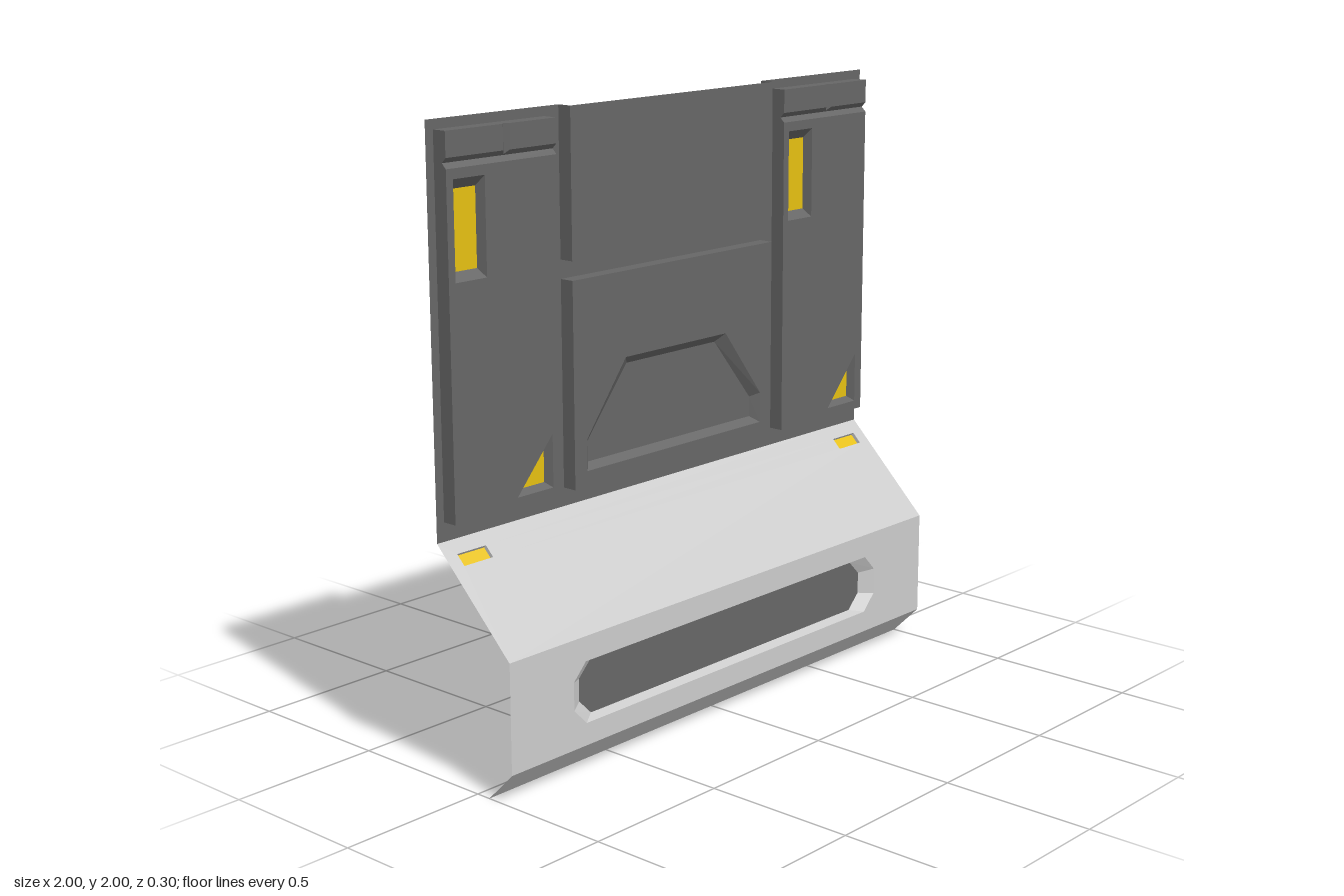
import * as THREE from 'three';

const material = (color) => new THREE.MeshStandardMaterial({ color, flatShading: true, side: THREE.DoubleSide });
const BACK = -0.15, FRONT = -0.10; // frame plane and raised panel plane

const rect = (x0, y0, x1, y1) => [[x0, y0], [x1, y0], [x1, y1], [x0, y1]];
const at = (points, z) => points.map(([x, y]) => [x, y, z]);
const toVectors = (points) => points.map(([x, y]) => new THREE.Vector2(x, y));

// Flat sheet with optional holes
function sheet(outline, holes = [], z = 0) {
  const shape = new THREE.Shape(toVectors(outline));
  holes.forEach((h) => shape.holes.push(new THREE.Path(toVectors(h))));
  return new THREE.ShapeGeometry(shape).translate(0, 0, z);
}

// Quads between successive rows of points
function strip(rows, closed = false) {
  const pos = [];
  for (let r = 0; r < rows.length - 1; r++) {
    const n = rows[r].length;
    for (let i = 0; i < (closed ? n : n - 1); i++) {
      const j = (i + 1) % n;
      const [a, b, c, d] = [rows[r][i], rows[r][j], rows[r + 1][j], rows[r + 1][i]];
      pos.push(...a, ...b, ...c, ...a, ...c, ...d);
    }
  }
  const geo = new THREE.BufferGeometry();
  geo.setAttribute('position', new THREE.Float32BufferAttribute(pos, 3));
  geo.computeVertexNormals();
  return geo;
}

function add(parent, name, geometry, mat) {
  const mesh = new THREE.Mesh(geometry, mat);
  mesh.name = name;
  parent.add(mesh);
  return mesh;
}

// Pocket with tapered walls and a floor
function recess(parent, name, outer, inner, z, depth, wallMat, floorMat) {
  add(parent, name + 'Walls', strip([at(outer, z), at(inner, z - depth)], true), wallMat);
  add(parent, name + 'Floor', sheet(inner, [], z - depth), floorMat);
}

export function createModel() {
  const model = new THREE.Group();
  model.name = 'wallPanel';
  const light = material(0xcccccc);
  const dark = material(0x666666);
  const yellow = material(0xe6c012);

  // Rear frame, open behind the raised panels
  const lowerBay = rect(-0.47, 0.81, 0.47, 1.47);
  const upperBay = [[-0.47, 2], [-0.47, 1.53], [0.47, 1.53], [0.47, 2]];
  add(model, 'frame', sheet(
    [[-1, 0.75], [1, 0.75], [1, 2], ...[...upperBay].reverse(), [-1, 2]],
    [lowerBay, rect(-0.97, 0.81, -0.53, 1.97), rect(0.53, 0.81, 0.97, 1.97)], BACK), dark);

  // Upper centre panel
  add(model, 'upperPanelFace', sheet(upperBay, [], FRONT), dark);
  add(model, 'upperPanelWalls', strip([at(upperBay, BACK), at(upperBay, FRONT)]), dark);

  // Lower centre panel with its sunken trapezoid
  const trapOuter = [[-0.415, 0.861], [0.415, 0.861], [0.415, 0.963], [0.238, 1.195], [-0.238, 1.195], [-0.415, 0.963]];
  const trapInner = [[-0.388, 0.882], [0.388, 0.882], [0.388, 0.95], [0.21, 1.168], [-0.21, 1.168], [-0.388, 0.95]];
  add(model, 'lowerPanelFace', sheet(lowerBay, [trapOuter], FRONT), dark);
  add(model, 'lowerPanelWalls', strip([at(lowerBay, BACK), at(lowerBay, FRONT)], true), dark);
  recess(model, 'trapezoid', trapOuter, trapInner, FRONT, 0.025, dark, dark);

  // Two identical side panels
  for (const offset of [0, 1.5]) {
    const side = new THREE.Group();
    side.name = offset ? 'leftSidePanel' : 'rightSidePanel';
    side.position.x = offset;
    model.add(side);
    const x0 = -0.97, x1 = -0.53;

    // Main face with the lamp and corner pockets
    const lampOuter = rect(-0.944, 1.53, -0.821, 1.83);
    const lampInner = rect(-0.93, 1.556, -0.832, 1.798);
    const cornerOuter = [[-0.716, 0.84], [-0.565, 0.84], [-0.565, 1.01]];
    const cornerInner = [[-0.687, 0.856], [-0.58, 0.856], [-0.58, 0.982]];
    add(side, 'face', sheet(rect(x0, 0.81, x1, 1.861), [lampOuter, cornerOuter], FRONT), dark);
    recess(side, 'lamp', lampOuter, lampInner, FRONT, 0.03, dark, yellow);
    recess(side, 'cornerMark', cornerOuter, cornerInner, FRONT, 0.025, dark, yellow);

    // Horizontal groove, then the top band split by a vertical groove
    const xs = [x0, -0.746, -0.733, -0.72, x1];
    const grooveZ = xs.map((x, i) => (i === 2 ? FRONT - 0.013 : FRONT));
    add(side, 'groovedTop', strip([
      xs.map((x) => [x, 1.861, FRONT]),
      xs.map((x) => [x, 1.877, FRONT - 0.016]),
      xs.map((x, i) => [x, i === 2 ? 1.88 : 1.893, grooveZ[i]]),
      xs.map((x, i) => [x, 1.97, grooveZ[i]]),
    ]), dark);

    // Notched side walls, top and bottom
    const sideOutline = [[BACK, 0.81], [FRONT, 0.81], [FRONT, 1.861], [FRONT - 0.016, 1.877],
      [FRONT, 1.893], [FRONT, 1.97], [BACK, 1.97]];
    for (const x of [x0, x1]) {
      add(side, 'sideWall', sheet(sideOutline).rotateY(-Math.PI / 2).translate(x, 0, 0), dark);
    }
    add(side, 'topWall', strip([
      xs.map((x, i) => [x, 1.97, grooveZ[i]]), xs.map((x) => [x, 1.97, BACK]),
    ]), dark);
    add(side, 'bottomWall', strip([[[x0, 0.81, BACK], [x1, 0.81, BACK]],
      [[x0, 0.81, FRONT], [x1, 0.81, FRONT]]]), dark);
  }

  // Sloping shelf with two small lights
  const slope = new THREE.Group();
  slope.name = 'slope';
  slope.position.set(0, 0.45, 0.15);
  slope.rotation.x = -Math.PI / 4;
  model.add(slope);
  const slots = [rect(-0.953, 0.332, -0.837, 0.375), rect(0.837, 0.332, 0.953, 0.375)];
  add(slope, 'slopeSheet', sheet(rect(-1, 0, 1, 0.3 * Math.SQRT2), slots), light);
  slots.forEach((s) => recess(slope, 'slopeLight', s, s, 0, 0.012, light, yellow));

  // Vertical front band with a long octagonal pocket
  const octagon = (w, cut, y0, y1, ya, yb) => [
    [-w + cut, y0], [w - cut, y0], [w, ya], [w, yb], [w - cut, y1], [-w + cut, y1], [-w, yb], [-w, ya]];
  const slotOuter = octagon(0.738, 0.052, 0.172, 0.37, 0.226, 0.316);
  const slotInner = octagon(0.687, 0.05, 0.184, 0.357, 0.234, 0.307);
  add(model, 'frontBand', sheet(rect(-1, 0.1, 1, 0.45), [slotOuter], 0.15), light);
  recess(model, 'longSlot', slotOuter, slotInner, 0.15, 0.03, light, dark);

  // Bottom lip folded backwards
  add(model, 'bottomLip', strip([[[-1, 0, 0.05], [1, 0, 0.05]], [[-1, 0.1, 0.15], [1, 0.1, 0.15]]]), light);

  return model;
}
